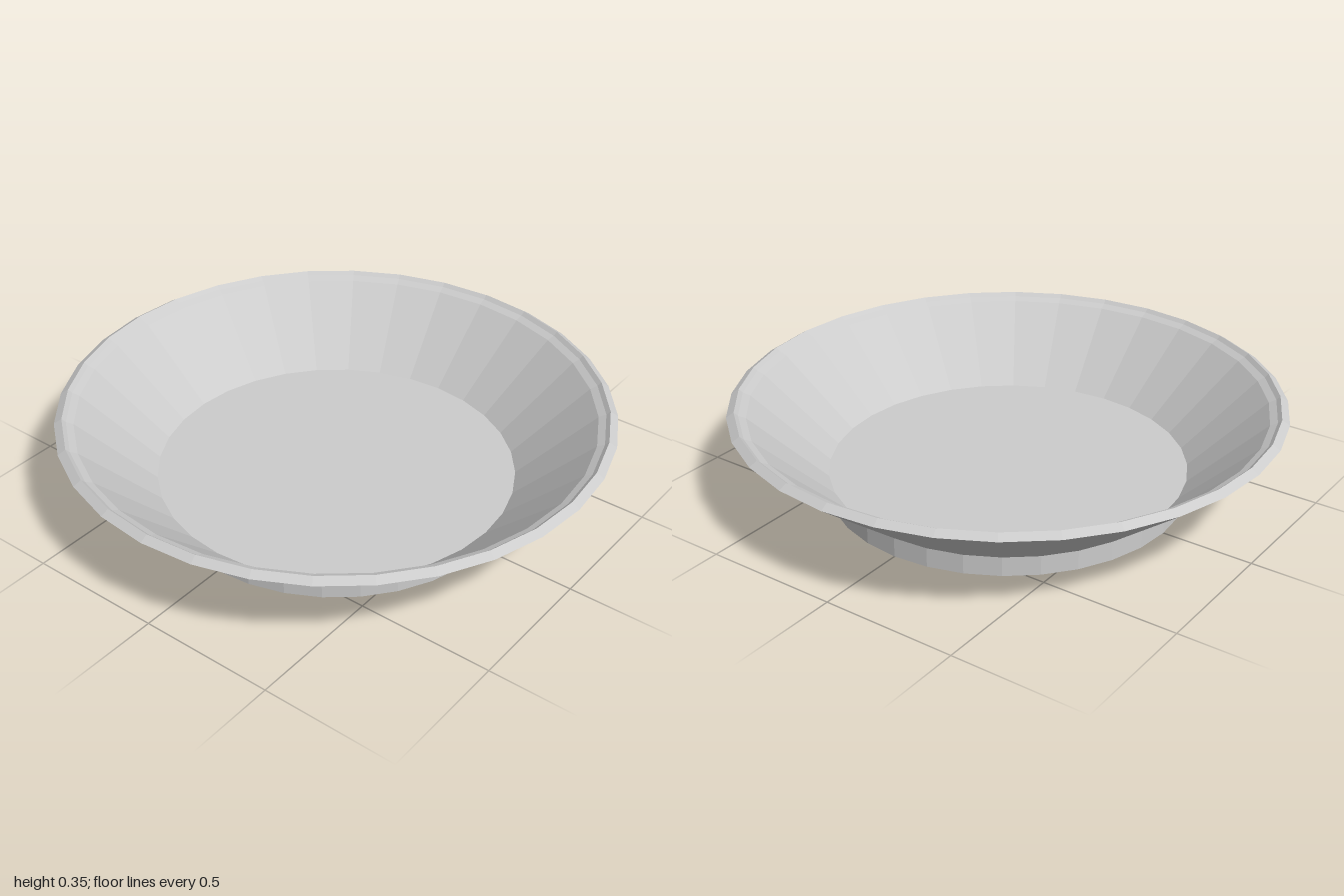
import * as THREE from 'three';

const SIDES = 32;

export function createModel() {
  const plate = new THREE.Group();
  plate.name = 'plate';
  const material = new THREE.MeshStandardMaterial({ color: 0xcccccc, flatShading: true });

  // Turns a [radius, height] profile around the y axis
  function turn(name, profile) {
    const points = profile.map(([r, y]) => new THREE.Vector2(r, y));
    const mesh = new THREE.Mesh(new THREE.LatheGeometry(points, SIDES), material);
    mesh.name = name;
    plate.add(mesh);
  }

  // Closed base and short upright foot ring
  turn('foot', [[0, 0], [0.66, 0], [0.66, 0.072]]);
  // Flared underside
  turn('outerWall', [[0.66, 0.072], [1, 0.337]]);
  // Bevelled lip with a small step on its inside
  turn('rim', [[1, 0.337], [0.972, 0.355], [0.958, 0.342], [0.932, 0.33]]);
  // Sloping inside of the dish
  turn('innerWall', [[0.932, 0.33], [0.655, 0.074]]);
  // Flat floor
  turn('floor', [[0.655, 0.074], [0, 0.074]]);

  return plate;
}
